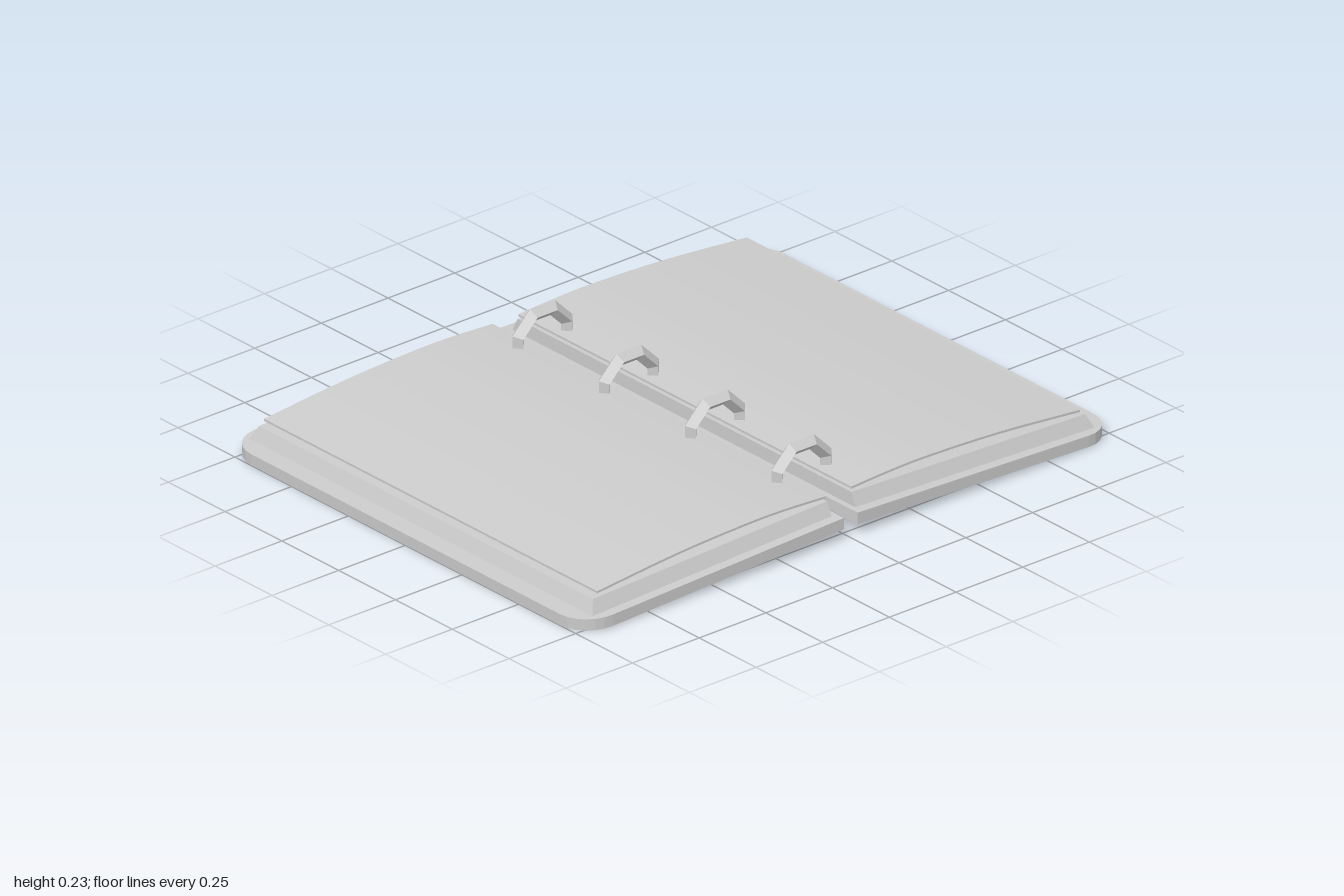
import * as THREE from 'three';

const material = new THREE.MeshStandardMaterial({ color: 0xcccccc, flatShading: true });
const smooth = new THREE.MeshStandardMaterial({ color: 0xcccccc, side: THREE.DoubleSide });
const TILT = 0.036;

function part(name, geometry, mat = material) {
  const mesh = new THREE.Mesh(geometry, mat);
  mesh.name = name;
  return mesh;
}

// Cover board with straight spine edge and rounded outer corners
function coverGeometry() {
  const x0 = 0.024, x1 = 0.999, z = 0.787, r = 0.107;
  const s = new THREE.Shape();
  s.moveTo(x0, -z);
  s.lineTo(x1 - r, -z);
  s.absarc(x1 - r, -z + r, r, -Math.PI / 2, 0, false);
  s.lineTo(x1, z - r);
  s.absarc(x1 - r, z - r, r, 0, Math.PI / 2, false);
  s.lineTo(x0, z);
  s.closePath();
  return new THREE.ExtrudeGeometry(s, { depth: 0.036, bevelEnabled: false, curveSegments: 3 })
    .rotateX(-Math.PI / 2);
}

// Stack of pages: tapers upward on the three open sides, upright at the spine
function pageBlockGeometry() {
  const x0 = 0.043, y0 = 0.036, h = 0.041;
  const g = new THREE.BoxGeometry(1, h, 1, 1, 2, 1);
  const p = g.attributes.position;
  for (let i = 0; i < p.count; i++) {
    const t = p.getY(i) / h + 0.5;
    const inset = 0.02 * t;
    p.setXYZ(i, p.getX(i) < 0 ? x0 : 0.94 - inset, y0 + h * t,
      Math.sign(p.getZ(i)) * (0.755 - inset));
  }
  g.computeVertexNormals();
  return g;
}

// Loose top sheet, gently arched across its width
function sheetGeometry() {
  const curve = new THREE.SplineCurve([
    [0.048, 0.127], [0.18, 0.134], [0.33, 0.136], [0.6, 0.125], [0.905, 0.098],
  ].map(([x, y]) => new THREE.Vector2(x, y)));
  const top = curve.getPoints(16);
  const bottom = top.map((v) => new THREE.Vector2(v.x, v.y - 0.007)).reverse();
  return new THREE.ExtrudeGeometry(new THREE.Shape([...top, ...bottom]),
    { depth: 1.466, bevelEnabled: false }).translate(0, 0, -0.733);
}

function createHalf(name) {
  const half = new THREE.Group();
  half.name = name;
  // Cover and pages rise towards the spine, pivoting on the outer lower edge
  const tilted = new THREE.Group();
  tilted.name = 'coverAndPages';
  tilted.position.x = 1;
  tilted.rotation.z = -TILT;
  tilted.add(
    part('cover', coverGeometry().translate(-1, 0, 0)),
    part('pageBlock', pageBlockGeometry().translate(-1, 0, 0)),
  );
  half.add(tilted, part('topSheet', sheetGeometry(), smooth));
  return half;
}

export function createModel() {
  const model = new THREE.Group();
  model.name = 'ringBinder';

  const left = createHalf('leftHalf');
  const right = createHalf('rightHalf');
  right.rotation.y = Math.PI;
  model.add(left, right);

  // Octagonal binder rings with a diamond section
  const ringGeometry = new THREE.TorusGeometry(0.099, 0.023, 4, 8).rotateZ(Math.PI / 8);
  for (const z of [-0.57, -0.19, 0.19, 0.57]) {
    const ring = part('binderRing', ringGeometry);
    ring.position.set(0, 0.121, z);
    model.add(ring);
  }
  return model;
}
